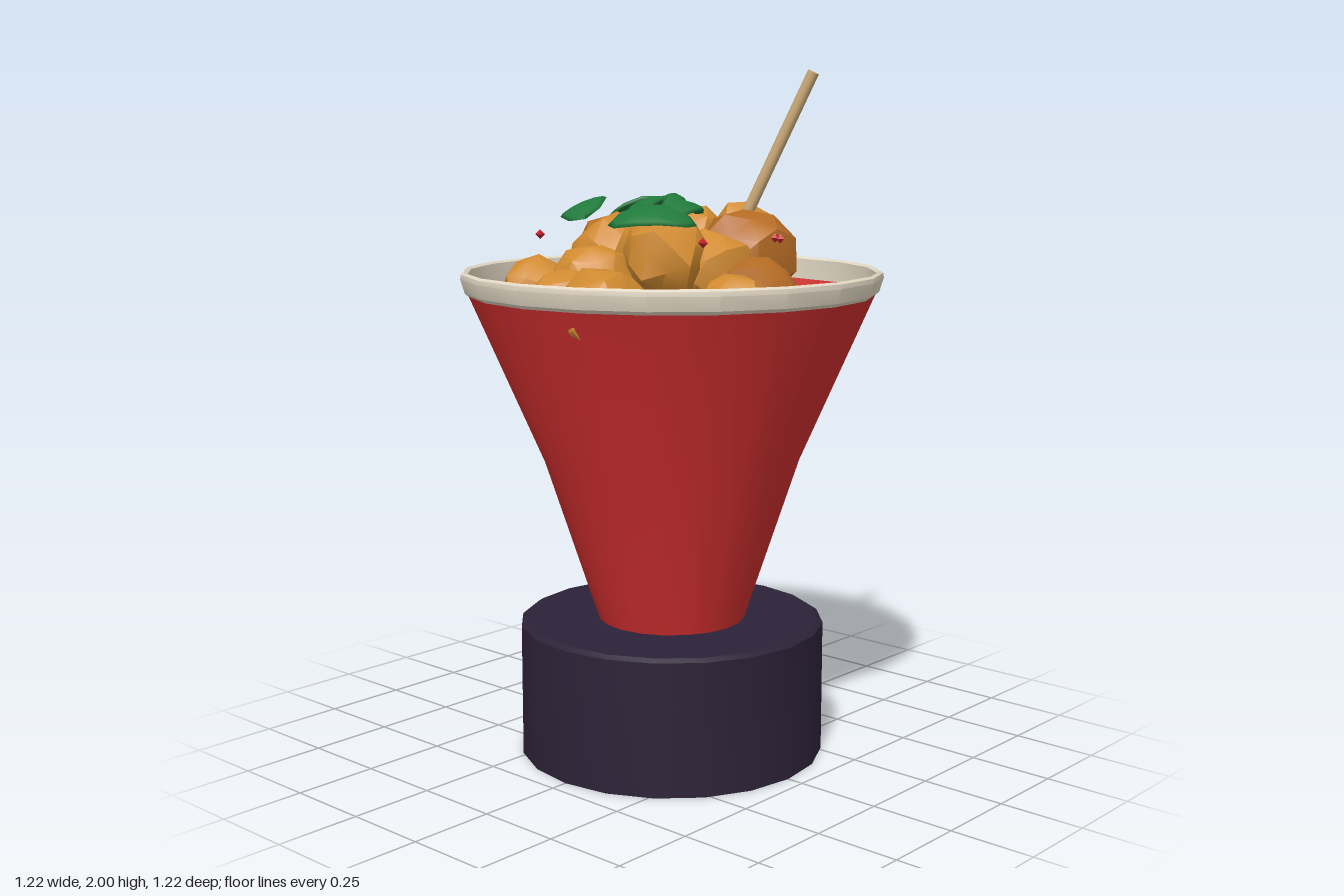
import * as THREE from 'three';
import { toCreasedNormals } from 'three/addons/utils/BufferGeometryUtils.js';

const mat = (name, color, side = THREE.FrontSide) => {
  const m = new THREE.MeshStandardMaterial({ color, side });
  m.name = name;
  return m;
};

// repeatable noise from a position
const noise = (x, y, z, seed) => {
  const s = Math.sin(Math.round(x * 100) * 12.9898 + Math.round(y * 100) * 78.233 + Math.round(z * 100) * 37.719 + seed * 4.13) * 43758.5453;
  return s - Math.floor(s);
};

export function createModel() {
  const group = new THREE.Group();
  const red = mat('cupRed', 0xd32f2f, THREE.DoubleSide);
  const cream = mat('rimCream', 0xe2d8c4, THREE.DoubleSide);
  const dark = mat('baseDark', 0x2d2238);
  const golden = mat('goldenCrust', 0xd08a30);
  const brown = mat('brownCrust', 0xb56c24);
  const green = mat('leafGreen', 0x217a3c);
  const spice = mat('spiceRed', 0xc3202c);
  const wood = mat('stickWood', 0xcdab78);

  const add = (name, geo, material, parent = group) => {
    const mesh = new THREE.Mesh(geo, material);
    mesh.name = name;
    parent.add(mesh);
    return mesh;
  };
  const addGroup = (name) => {
    const g = new THREE.Group();
    g.name = name;
    group.add(g);
    return g;
  };
  const lathe = (pts) => toCreasedNormals(
    new THREE.LatheGeometry(pts.map(([x, y]) => new THREE.Vector2(x, y)), 20), 0.45);

  // base, flared cup and rim
  add('base', lathe([[0, 0], [0.45, 0], [0.45, 0.39], [0.435, 0.4], [0, 0.4]]), dark);
  add('cup', lathe([[0.217, 0.4], [0.375, 0.88], [0.592, 1.378]]), red);
  add('rim', lathe([[0.587, 1.365], [0.598, 1.375], [0.61, 1.415], [0.608, 1.428],
    [0.6, 1.434], [0.59, 1.428], [0.587, 1.365]]), cream);

  // lumpy fried balls: x, y, z, radius, 1 = brown
  const balls = addGroup('friedBalls');
  [
    [-0.38, 1.38, -0.155, 0.1, 0], [-0.42, 1.36, -0.01, 0.11, 0],
    [-0.42, 1.35, 0.125, 0.125, 0], [-0.31, 1.41, -0.01, 0.115, 0],
    [-0.2, 1.47, -0.04, 0.125, 0], [-0.15, 1.48, -0.05, 0.12, 1],
    [-0.03, 1.46, -0.19, 0.125, 1], [0.15, 1.48, -0.06, 0.122, 0],
    [0.17, 1.37, -0.355, 0.122, 0], [0.24, 1.41, -0.285, 0.1, 1],
    [0.35, 1.35, -0.05, 0.095, 1], [0.24, 1.53, 0.07, 0.093, 0],
    [0.18, 1.46, 0.135, 0.14, 1], [-0.18, 1.48, 0.14, 0.12, 0],
    [-0.055, 1.44, 0.21, 0.12, 0], [-0.16, 1.36, 0.38, 0.1, 0],
    [-0.04, 1.38, 0.355, 0.105, 1],
  ].forEach(([x, y, z, r, isBrown], i) => {
    const geo = new THREE.IcosahedronGeometry(1, 1);
    const p = geo.attributes.position;
    for (let k = 0; k < p.count; k++) {
      const v = new THREE.Vector3().fromBufferAttribute(p, k);
      v.multiplyScalar(r * (0.92 + 0.2 * noise(v.x, v.y, v.z, i)));
      p.setXYZ(k, v.x, v.y, v.z);
    }
    const ball = add('friedBall', toCreasedNormals(geo, 0.6), isBrown ? brown : golden, balls);
    ball.position.set(x, y, z);
    ball.rotation.set(i * 1.3, i * 2.1, 0);
  });

  // thin arched leaves: centre, length, width, turn about y, tilt towards own side
  const leaves = addGroup('leaves');
  const leafGeometry = (length, width) => {
    const geo = new THREE.SphereGeometry(1, 10, 6);
    const p = geo.attributes.position;
    for (let k = 0; k < p.count; k++) {
      const x = p.getX(k), z = p.getZ(k);
      p.setXYZ(k, x * length / 2, p.getY(k) * 0.012 - 0.035 * x * x, z * width / 2 * (1 - 0.15 * x));
    }
    geo.computeVertexNormals();
    return geo;
  };
  [
    [-0.155, 1.615, -0.2, 0.235, 0.145, 0.7, -0.4],
    [0.085, 1.615, -0.175, 0.24, 0.125, -0.5, -0.35],
    [-0.22, 1.605, 0.125, 0.25, 0.13, -0.98, 0.4],
    [-0.015, 1.63, -0.045, 0.21, 0.115, -0.1, -0.15],
    [0.01, 1.62, 0.04, 0.21, 0.11, 0.3, 0.25],
    [0.02, 1.635, 0.005, 0.19, 0.06, 0.55, 0.5],
  ].forEach(([x, y, z, length, width, turn, tilt]) => {
    const leaf = add('leaf', leafGeometry(length, width), green, leaves);
    leaf.position.set(x, y, z);
    leaf.rotation.set(tilt, turn, 0, 'YXZ');
  });

  // spice flakes
  const flakes = addGroup('spiceFlakes');
  [[-0.245, -0.29], [0.03, -0.125], [0.31, -0.21], [0.265, -0.115], [0.33, -0.075],
    [0.005, 0.16], [-0.195, 0.29], [0.09, 0.31], [0.075, 0.34]].forEach(([x, z], i) => {
    const flake = add('spiceFlake', new THREE.OctahedronGeometry(0.014), spice, flakes);
    flake.position.set(x, 1.533, z);
    flake.rotation.y = Math.PI / 4 + i * 0.5;
  });

  // leaning wooden stick
  const bottom = new THREE.Vector3(0.165, 1.43, 0.05);
  const top = new THREE.Vector3(0.288, 1.993, 0.285);
  const dir = top.clone().sub(bottom);
  const stick = add('stick', new THREE.CylinderGeometry(0.017, 0.017, dir.length(), 8), wood);
  stick.position.copy(bottom).add(top).multiplyScalar(0.5);
  stick.quaternion.setFromUnitVectors(new THREE.Vector3(0, 1, 0), dir.normalize());

  return group;
}
